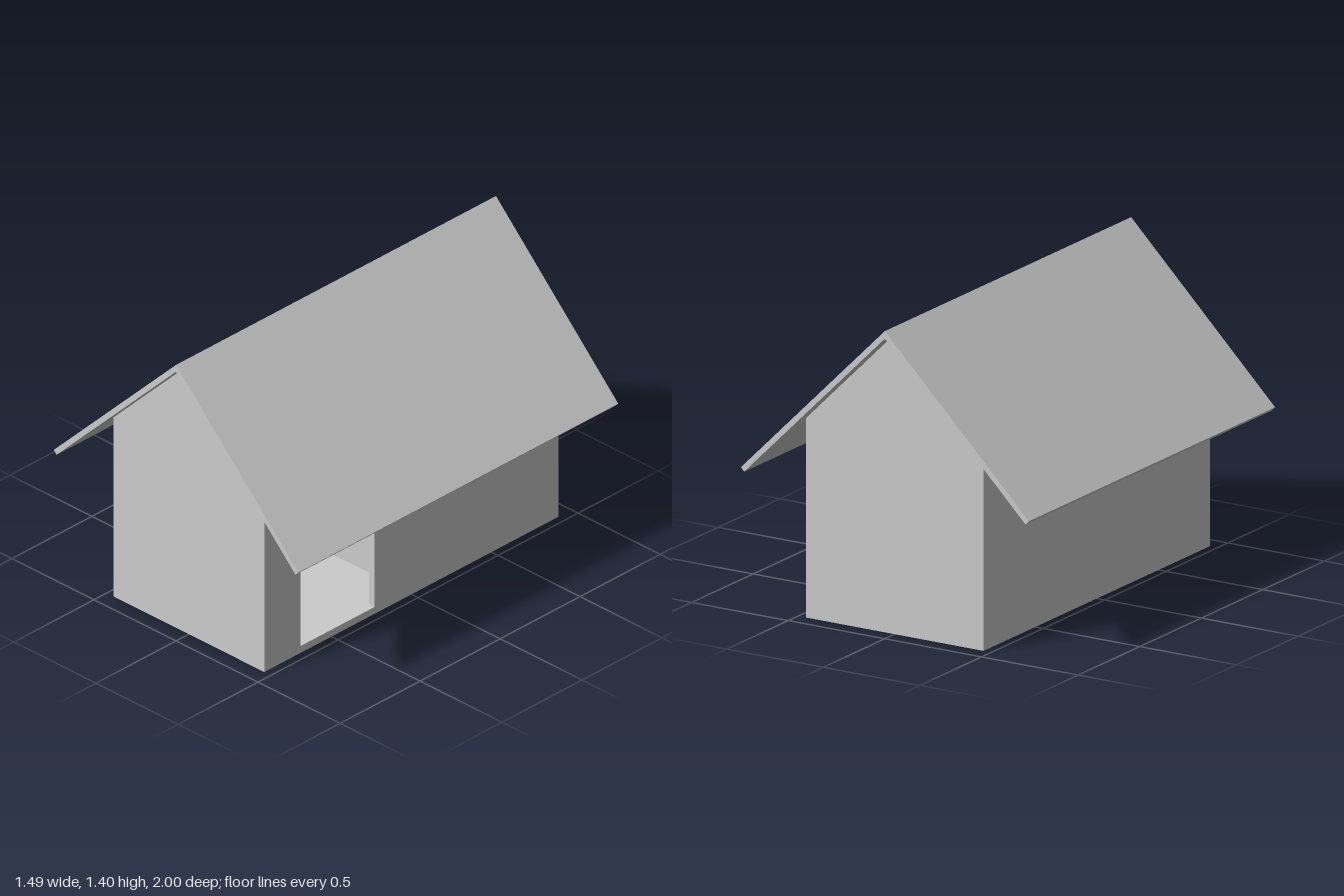
import * as THREE from 'three';

const material = new THREE.MeshStandardMaterial({ color: 0xcccccc, flatShading: true });

// Board thickness, and half sizes of the body
const T = 0.035, W = 0.46, D = 0.92;
const EAVE = 0.91, RIDGE = 1.37;

function outline(points) {
  return new THREE.Shape(points.map(([x, y]) => new THREE.Vector2(x, y)));
}

function rect(x0, y0, x1, y1) {
  return [[x0, y0], [x1, y0], [x1, y1], [x0, y1]];
}

function board(name, shape, depth) {
  const geometry = new THREE.ExtrudeGeometry(shape, { depth, bevelEnabled: false });
  const mesh = new THREE.Mesh(geometry, material);
  mesh.name = name;
  return mesh;
}

function panel(name, w, h, d, y) {
  const mesh = new THREE.Mesh(new THREE.BoxGeometry(w, h, d), material);
  mesh.name = name;
  mesh.position.y = y;
  return mesh;
}

export function createModel() {
  const house = new THREE.Group();
  house.name = 'petHouse';

  // Gabled end walls
  const gable = outline([[-W, 0], [W, 0], [W, EAVE], [0, RIDGE], [-W, EAVE]]);
  for (const [name, z] of [['frontWall', D - T], ['backWall', -D]]) {
    const wall = board(name, gable, T);
    wall.position.z = z;
    house.add(wall);
  }

  // Side walls, drawn with shape x running towards the back
  const inner = D - T;
  for (const [name, x] of [['leftWall', W - T], ['rightWall', -W]]) {
    const shape = outline(rect(-inner, 0, inner, EAVE));
    if (name === 'leftWall') shape.holes.push(outline(rect(-0.695, T, -0.23, 0.58)));
    const wall = board(name, shape, T);
    wall.rotation.y = Math.PI / 2;
    wall.position.x = x;
    house.add(wall);
  }

  // Floor and flat ceiling between the walls
  const innerWidth = 2 * (W - T);
  house.add(panel('floor', innerWidth, T, 2 * inner, T / 2));
  house.add(panel('ceiling', innerWidth, T, 2 * inner, EAVE + T / 2 - 0.01));

  // Inner partition with a passage to the rear room
  const divider = outline(rect(-W + T, T, W - T, EAVE - 0.01));
  divider.holes.push(outline(rect(-0.39, T + 0.02, -0.05, 0.58)));
  const partition = board('partition', divider, T);
  partition.position.z = 0.005;
  house.add(partition);

  // Two roof slopes meeting at the ridge
  const slope = outline([[0, RIDGE], [0.728, 0.642], [0.745, 0.66], [0, 1.405]]);
  const mirrored = outline([[0, 1.405], [-0.745, 0.66], [-0.728, 0.642], [0, RIDGE]]);
  for (const [name, shape] of [['roofLeft', slope], ['roofRight', mirrored]]) {
    const roof = board(name, shape, 2);
    roof.position.z = -1;
    house.add(roof);
  }

  return house;
}
